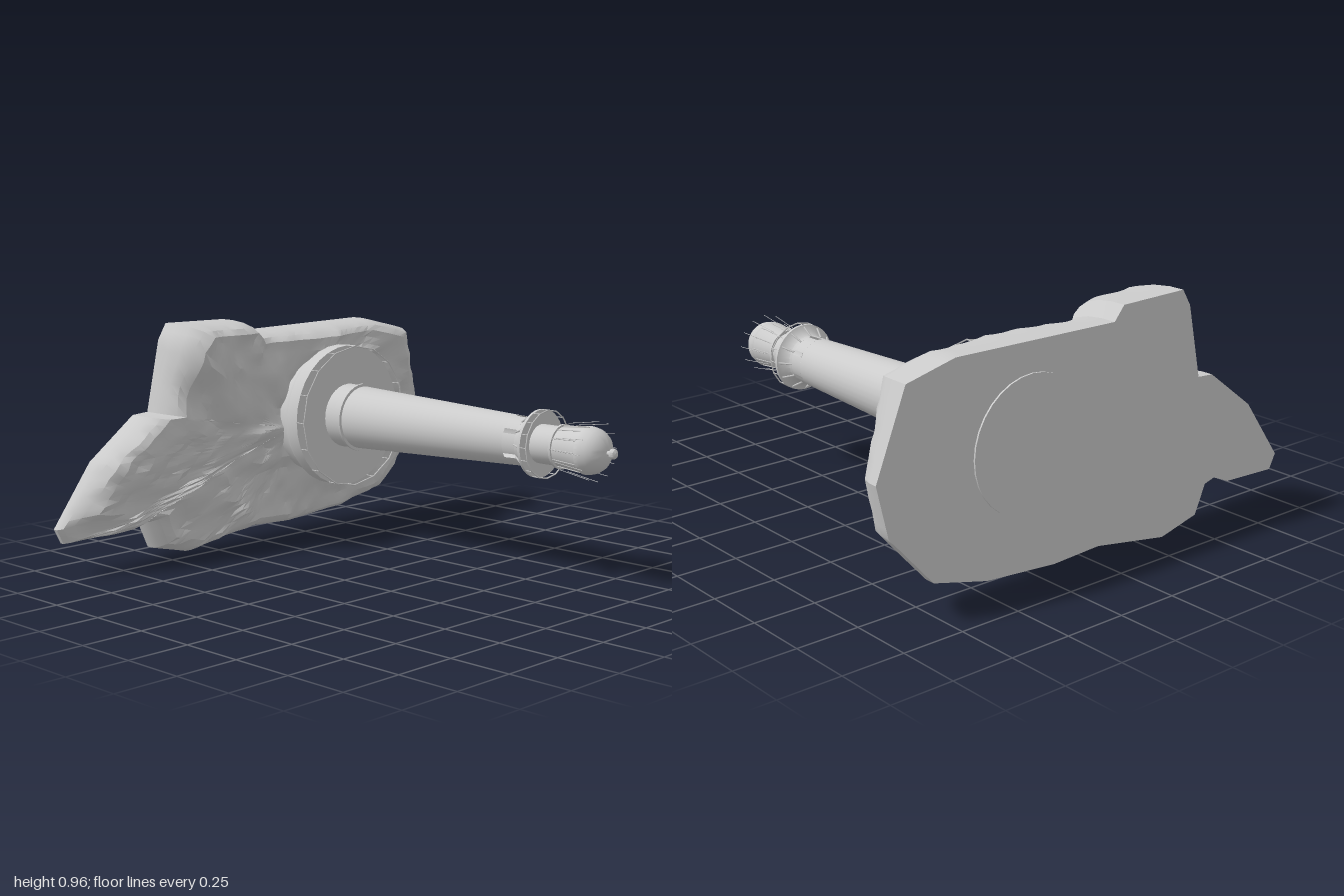
import * as THREE from 'three';
import { toCreasedNormals } from 'three/addons/utils/BufferGeometryUtils.js';

const mat = new THREE.MeshStandardMaterial({ color: 0xcccccc, side: THREE.DoubleSide });

function add(parent, geo, name) {
  const m = new THREE.Mesh(geo, mat);
  m.name = name;
  parent.add(m);
  return m;
}

// Turned part from [radius, height] pairs, with sharp profile edges kept
function turned(parent, name, points, sides = 32) {
  const geo = new THREE.LatheGeometry(points.map(p => new THREE.Vector2(p[0], p[1])), sides);
  return add(parent, toCreasedNormals(geo, 0.5), name);
}

// Thin straight bar between two points
function bar(parent, name, a, b, r) {
  const m = add(parent, new THREE.CylinderGeometry(r, r, a.distanceTo(b), 5), name);
  m.position.copy(a).lerp(b, 0.5);
  m.quaternion.setFromUnitVectors(new THREE.Vector3(0, 1, 0), b.clone().sub(a).normalize());
}

const polar = (r, a, y) => new THREE.Vector3(r * Math.cos(a), y, r * Math.sin(a));

// Ring of bars leaning from (r0, y0) to (r1, y1)
function barRing(parent, name, count, r0, y0, r1, y1, thick) {
  for (let i = 0; i < count; i++) {
    const a = i / count * Math.PI * 2;
    bar(parent, name, polar(r0, a, y0), polar(r1, a, y1), thick);
  }
}

function railing(parent, name, r, y0, y1, count) {
  const g = new THREE.Group();
  g.name = name;
  barRing(g, 'post', count, r, y0, r, y1, 0.002);
  const hoop = add(g, new THREE.TorusGeometry(r, 0.003, 5, count), 'handrail');
  hoop.rotation.x = Math.PI / 2;
  hoop.position.y = y1;
  parent.add(g);
}

// Seeded lattice noise in 0..1
const hash = (i, j) => {
  const s = Math.sin(i * 127.1 + j * 311.7) * 43758.5453;
  return s - Math.floor(s);
};
function noise(x, y) {
  const i = Math.floor(x), j = Math.floor(y);
  const u = THREE.MathUtils.smoothstep(x - i, 0, 1), v = THREE.MathUtils.smoothstep(y - j, 0, 1);
  const { lerp } = THREE.MathUtils;
  return lerp(lerp(hash(i, j), hash(i + 1, j), u), lerp(hash(i, j + 1), hash(i + 1, j + 1), u), v);
}

// Rock outline, counterclockwise from the left tip
const OUTLINE = [
  [-1, .2], [-.97, .14], [-.72, .15], [-.645, .185], [-.59, .17], [-.54, .055], [-.36, .01],
  [-.02, .065], [.2, .055], [.52, .08], [.76, .14], [.95, .35], [1, .55], [.875, .87],
  [.665, .92], [-.07, .91], [-.115, .965], [-.42, .97], [-.46, .905], [-.525, .615],
  [-.6, .61], [-.82, .445]
];
// Rock relief: x, y and the depth of the surface there
const RELIEF = [
  [-.95, .2, -.80], [-.8, .3, -.72], [-.62, .45, -.69], [-.55, .2, -.76], [-.45, .55, -.71],
  [-.3, .88, -.62], [-.1, .75, -.66], [-.25, .3, -.73], [-.3, .08, -.79], [.1, .15, -.77],
  [.5, .15, -.76], [.3, .86, -.63], [.05, .6, -.68], [.7, .8, -.67], [.75, .5, -.69],
  [.9, .55, -.72], [.8, .3, -.73], [.32, .54, -.7]
];
const BACK = -0.86;

function relief(x, y) {
  let sum = 0, total = 0;
  for (const [px, py, pz] of RELIEF) {
    const w = 1 / (((x - px) ** 2 + (y - py) ** 2) ** 1.5 + 0.001);
    sum += w * pz;
    total += w;
  }
  const crag = Math.abs(noise(x * 7 + 20, y * 7 + 5) - 0.5) * 0.06;
  return sum / total + 0.012 - crag + (noise(x * 19 + 40, y * 19) - 0.5) * 0.025;
}

function rockGeometry() {
  const cx = 0.1, cy = 0.5, rim = [];
  OUTLINE.forEach((a, i) => {
    const b = OUTLINE[(i + 1) % OUTLINE.length];
    const n = Math.max(1, Math.round(Math.hypot(b[0] - a[0], b[1] - a[1]) / 0.04));
    for (let k = 0; k < n; k++) rim.push([a[0] + (b[0] - a[0]) * k / n, a[1] + (b[1] - a[1]) * k / n]);
  });
  // Each ring: scale towards the middle, share of the full relief
  const rings = [[0, 0], [1, 0], [1, .3], [.985, .62], [.95, .87], [.9, 1]];
  for (let t = .84; t > 0.05; t -= .06) rings.push([t, 1]);
  rings.push([0, 1]);
  const pos = [], index = [], n = rim.length;
  for (const [t, share] of rings) {
    for (const [rx, ry] of rim) {
      const x = cx + (rx - cx) * t, y = cy + (ry - cy) * t;
      pos.push(x, y, BACK + (relief(x, y) - BACK) * share);
    }
  }
  for (let r = 0; r < rings.length - 1; r++) {
    for (let i = 0; i < n; i++) {
      const a = r * n + i, b = r * n + (i + 1) % n;
      index.push(a, b, b + n, a, b + n, a + n);
    }
  }
  const geo = new THREE.BufferGeometry();
  geo.setAttribute('position', new THREE.Float32BufferAttribute(pos, 3));
  geo.setIndex(index);
  return toCreasedNormals(geo, 0.5);
}

export function createModel() {
  const root = new THREE.Group();
  root.name = 'lighthouseOnRock';
  add(root, rockGeometry(), 'rock');

  // Tower group: its own up axis points to the front
  const tower = new THREE.Group();
  tower.name = 'lighthouse';
  tower.rotation.x = Math.PI / 2;
  tower.position.set(0.325, 0.54, 0);
  root.add(tower);

  // Foundation and its railing
  turned(tower, 'foundation', [[0, -.867], [.26, -.867], [.26, -.75], [.265, -.71], [.275, -.66],
    [.295, -.625], [.302, -.615], [.302, -.557], [0, -.557]]);
  railing(tower, 'foundationRailing', 0.301, -0.557, -0.515, 16);

  // Tapering shaft with a slit band near the top
  const radiusAt = y => THREE.MathUtils.mapLinear(y, -0.557, 0.46, 0.136, 0.096);
  turned(tower, 'shaft', [[radiusAt(-.557), -.557], [radiusAt(.39), .39]]);
  turned(tower, 'shaftCollar', [[.133, -.472], [.145, -.472], [.145, -.462], [.133, -.462]]);
  const gap = 0.2;
  for (let i = 0; i < 6; i++) {
    const wall = add(tower, new THREE.CylinderGeometry(radiusAt(.45), radiusAt(.39), .06, 6, 1, true,
      i * Math.PI / 3 + gap / 2, Math.PI / 3 - gap), 'wallBetweenWindows');
    wall.position.y = 0.42;
  }

  // Gallery deck with brackets and railing
  turned(tower, 'gallery', [[radiusAt(.45), .45], [.098, .465], [.11, .483], [.13, .496],
    [.135, .498], [.135, .51], [.07, .51]]);
  barRing(tower, 'galleryBracket', 12, .097, .45, .127, .495, .004);
  railing(tower, 'galleryRailing', 0.134, 0.51, 0.54, 16);

  // Lantern room, dome and finial
  turned(tower, 'lanternBase', [[.077, .51], [.077, .61], [.088, .61], [.088, .62], [.08, .62]]);
  turned(tower, 'lanternGlass', [[.08, .62], [.083, .66], [.089, .72], [.092, .735]]);
  barRing(tower, 'glazingBar', 12, .081, .62, .092, .735, .002);
  turned(tower, 'dome', [[.092, .733], [.094, .738], [.092, .755], [.086, .778], [.072, .8],
    [.05, .817], [.025, .826], [.009, .829], [.009, .838]]);
  turned(tower, 'finial', [[.009, .838], [.018, .844], [.021, .853], [.018, .863], [.008, .87], [0, .871]], 16);

  // Thin rods standing around the lantern
  barRing(tower, 'lanternRod', 12, .094, .64, .116, .785, .0012);
  return root;
}
